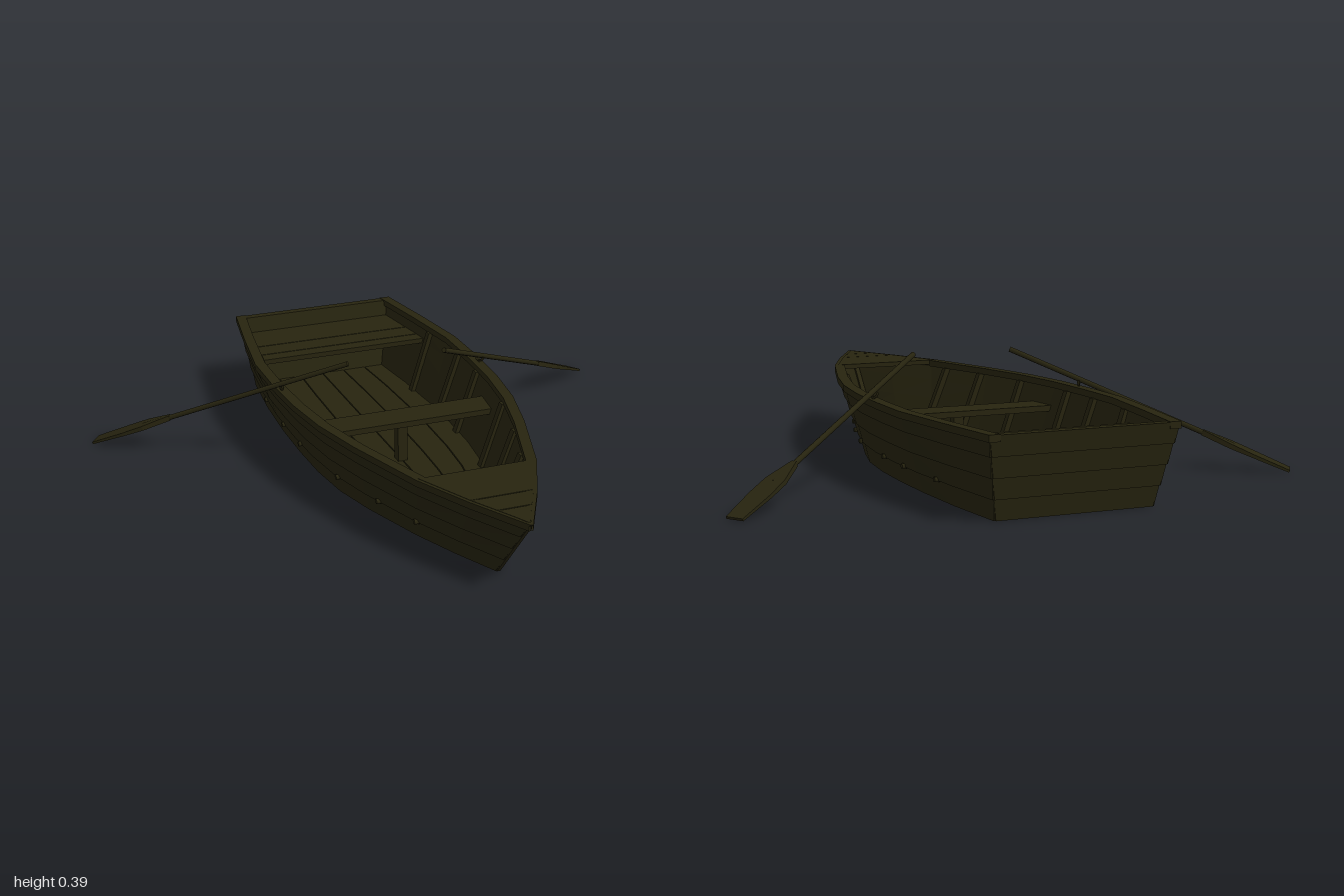
import * as THREE from 'three';

const HEIGHT = 0.263;
// Hull stations from stern to bow: [z top, half width top, z bottom, half width bottom]
const STATIONS = [
  [-1, 0.308, -0.93, 0.258], [-0.75, 0.348, -0.7, 0.28], [-0.5, 0.382, -0.47, 0.29],
  [-0.3, 0.382, -0.28, 0.29], [-0.1, 0.372, -0.1, 0.283], [0.1, 0.345, 0.07, 0.262],
  [0.3, 0.295, 0.23, 0.22], [0.6, 0.2, 0.46, 0.142], [0.8, 0.108, 0.62, 0.075], [0.995, 0.004, 0.77, 0.004],
];
const lerp = THREE.MathUtils.lerp;

// Hull point [half width, z] on station s at height y
const at = (s, y) => [lerp(s[3], s[1], y / HEIGHT), lerp(s[2], s[0], y / HEIGHT)];

// Half width of the hull at any z and height
function halfWidth(z, y) {
  for (let i = 1; i < STATIONS.length; i++) {
    const [x0, z0] = at(STATIONS[i - 1], y), [x1, z1] = at(STATIONS[i], y);
    if (z <= z1) return lerp(x0, x1, Math.max(0, (z - z0) / (z1 - z0)));
  }
  return 0.004;
}

// Closed solid through a row of equal-sized rings, faces turned outward
function loft(rings) {
  const tris = [], n = rings[0].length;
  for (let k = 1; k < rings.length; k++) {
    for (let i = 0; i < n; i++) {
      const j = (i + 1) % n, a = rings[k - 1], b = rings[k];
      tris.push([a[i], a[j], b[j]], [a[i], b[j], b[i]]);
    }
  }
  const first = rings[0], last = rings[rings.length - 1];
  for (let i = 1; i < n - 1; i++) {
    tris.push([first[0], first[i + 1], first[i]], [last[0], last[i], last[i + 1]]);
  }
  const volume = tris.reduce((sum, [a, b, c]) => sum
    + a[0] * (b[1] * c[2] - b[2] * c[1])
    + a[1] * (b[2] * c[0] - b[0] * c[2])
    + a[2] * (b[0] * c[1] - b[1] * c[0]), 0);
  if (volume < 0) tris.forEach(t => t.reverse());
  const geometry = new THREE.BufferGeometry();
  geometry.setAttribute('position', new THREE.Float32BufferAttribute(tris.flat(2), 3));
  geometry.computeVertexNormals();
  return geometry;
}

export function createModel() {
  const boat = new THREE.Group();
  boat.name = 'rowingBoat';
  const wood = new THREE.MeshStandardMaterial({ color: 0x27240f });
  wood.name = 'dark olive wood';

  const add = (name, geometry, parent = boat) => {
    const mesh = new THREE.Mesh(geometry, wood);
    mesh.name = name;
    parent.add(mesh);
    return mesh;
  };

  // Overlapping side planks, and the stern board planks between them
  const rows = 4, rowHeight = HEIGHT / rows, wall = 0.02;
  for (let r = 0; r < rows; r++) {
    const y0 = r * rowHeight, y1 = y0 + rowHeight;
    for (const side of [-1, 1]) {
      add('sidePlank', loft(STATIONS.map(s => {
        const [x0, z0] = at(s, y0), [x1, z1] = at(s, y1);
        const inner = x => side * Math.max(0.001, x - wall);
        return [[side * (x0 + 0.005), y0, z0], [side * x1, y1, z1], [inner(x1), y1, z1], [inner(x0), y0, z0]];
      })));
    }
    const [x0, z0] = at(STATIONS[0], y0), [x1, z1] = at(STATIONS[0], y1);
    add('sternPlank', loft([-1, 1].map(side => [
      [side * x0, y0, z0 - 0.004], [side * x1, y1, z1],
      [side * x1, y1, z1 + 0.03], [side * x0, y0, z0 + 0.03],
    ])));
  }

  // Top rails
  for (const side of [-1, 1]) {
    add('rail', loft(STATIONS.map(([z, x]) => {
      const inner = Math.max(0.001, x - 0.034);
      return [[side * (x + 0.003), 0.243, z], [side * (x + 0.003), HEIGHT + 0.002, z],
        [side * inner, HEIGHT + 0.002, z], [side * inner, 0.243, z]];
    })));
  }

  // Bow stem
  add('stem', loft([[0.77, 0], [0.995, HEIGHT + 0.002]].map(([z, y]) => [
    [-0.008, y, z - 0.03], [0.008, y, z - 0.03], [0.006, y, z + 0.005], [-0.006, y, z + 0.005],
  ])));

  // Bottom: thin core with lengthwise boards that narrow toward the bow
  const bottomStrip = (f0, f1, y0, y1, gap) => loft(STATIONS.map(s => {
    const w = s[3], g = Math.min(gap, w * 0.05);
    const a = w * f0 + g, b = w * f1 - g;
    return [[a, y0, s[2]], [b, y0, s[2]], [b, y1, s[2]], [a, y1, s[2]]];
  }));
  add('bottomCore', bottomStrip(-1, 1, 0.005, 0.016, 0));
  const boards = 6;
  for (let i = 0; i < boards; i++) {
    add('bottomBoard', bottomStrip(-1 + 2 * i / boards, -1 + 2 * (i + 1) / boards, 0, 0.022, 0.002));
  }

  // Cross planks cut to the hull: stern seat, rowing seat and bow deck
  const crossPlanks = (name, cuts, y, thickness, inset) => {
    for (let i = 1; i < cuts.length; i++) {
      const z0 = cuts[i - 1] + 0.002, z1 = cuts[i] - 0.002;
      add(name, loft([0, 0.5, 1].map(t => {
        const z = lerp(z0, z1, t), w = Math.max(0.003, halfWidth(z, y) - inset);
        return [[-w, y, z], [w, y, z], [w, y + thickness, z], [-w, y + thickness, z]];
      })));
    }
  };
  crossPlanks('sternSeat', [-0.96, -0.8, -0.715, -0.66], 0.19, 0.018, 0.015);
  crossPlanks('rowingSeat', [-0.115, 0.005], 0.165, 0.02, 0.012);
  crossPlanks('bowDeck', [0.59, 0.79, 0.88, 0.985], 0.25, 0.016, 0.004);

  // Post under the rowing seat
  const post = add('seatPost', new THREE.BoxGeometry(0.035, 0.15, 0.035));
  post.position.set(0, 0.093, -0.055);

  // Inner ribs and the pegs that fasten them through the hull
  for (const z of [-0.62, -0.38, -0.2, 0.1, 0.32, 0.5]) {
    for (const side of [-1, 1]) {
      add('rib', loft([0.015, 0.245].map(y => {
        const x = halfWidth(z, y);
        return [[x - 0.015, -0.013], [x - 0.036, -0.013], [x - 0.036, 0.013], [x - 0.015, 0.013]]
          .map(([px, dz]) => [side * px, y, z + dz]);
      })));
      const peg = add('peg', new THREE.CylinderGeometry(0.009, 0.009, 0.03, 6));
      peg.rotation.z = Math.PI / 2;
      peg.position.set(side * halfWidth(z, 0.07), 0.07, z);
    }
  }

  // Oars with their locks on the rails
  for (const side of [-1, 1]) {
    const oar = new THREE.Group();
    oar.name = side > 0 ? 'leftOar' : 'rightOar';
    const grip = new THREE.Vector3(side * 0.175, 0.384, -0.1);
    const tip = new THREE.Vector3(side * 0.946, 0.006, -0.633);
    const length = grip.distanceTo(tip);
    oar.position.copy(grip);
    oar.lookAt(tip);

    const shaft = add('oarShaft', new THREE.CylinderGeometry(0.009, 0.009, length - 0.2, 8), oar);
    shaft.rotation.x = Math.PI / 2;
    shaft.position.z = (length - 0.2) / 2;
    // Blade sections: [distance from tip, half width, half thickness]
    add('oarBlade', loft([[0.31, 0.009, 0.009], [0.21, 0.036, 0.008], [0.13, 0.039, 0.006], [0, 0.031, 0.004]]
      .map(([d, w, t]) => [[-w, -t, length - d], [w, -t, length - d], [w, t, length - d], [-w, t, length - d]])), oar);
    boat.add(oar);

    const lock = new THREE.Group();
    lock.name = 'oarLock';
    lock.position.set(side * 0.368, 0.287, -0.235);
    lock.rotation.y = side * 0.6;
    const fork = add('lockFork', new THREE.TorusGeometry(0.017, 0.004, 6, 10, Math.PI), lock);
    fork.rotation.set(0, Math.PI / 2, Math.PI);
    const pin = add('lockPin', new THREE.CylinderGeometry(0.005, 0.005, 0.03, 6), lock);
    pin.position.y = -0.03;
    boat.add(lock);
  }
  return boat;
}
